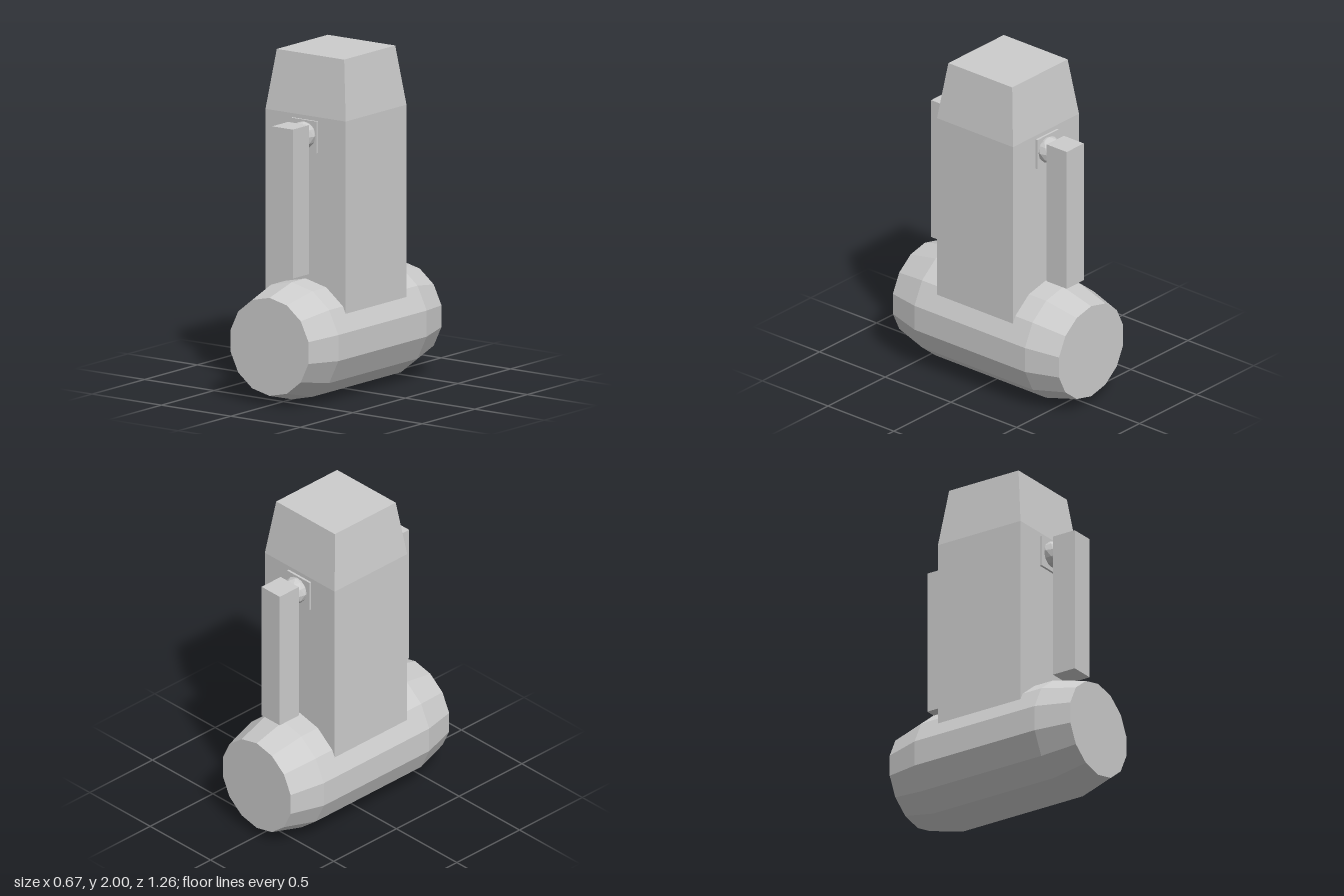
import * as THREE from 'three';

const material = new THREE.MeshStandardMaterial({ color: 0xcccccc, flatShading: true });

function part(name, geometry, x = 0, y = 0, z = 0) {
  const mesh = new THREE.Mesh(geometry, material);
  mesh.name = name;
  mesh.position.set(x, y, z);
  return mesh;
}

export function createModel() {
  const model = new THREE.Group();
  model.name = 'rollerColumn';

  // Fourteen-sided roller with tapered ends, lying along z
  const profile = [[0, -0.632], [0.288, -0.632], [0.344, -0.42], [0.344, 0.42], [0.288, 0.632], [0, 0.632]]
    .map(([r, h]) => new THREE.Vector2(r, h));
  const roller = new THREE.LatheGeometry(profile, 14);
  roller.rotateX(Math.PI / 2);
  // a corner of the polygon points straight up
  model.add(part('roller', roller, 0, 0.348, 0));

  // Square column, its foot sunk into the roller
  model.add(part('column', new THREE.BoxGeometry(0.578, 1.15, 0.578), 0, 1.075, 0));

  // Tapered cap: the upper corners of a box are drawn in
  const cap = new THREE.BoxGeometry(0.578, 0.35, 0.578);
  const p = cap.attributes.position;
  for (let i = 0; i < p.count; i++) {
    if (p.getY(i) > 0) {
      p.setX(i, p.getX(i) * 0.84);
      p.setZ(i, p.getZ(i) * 0.84);
    }
  }
  cap.computeVertexNormals();
  model.add(part('cap', cap, 0, 1.825, 0));

  // Socket plate, ball joint and hanging arm on the front and back
  for (const [side, s] of [['front', 1], ['back', -1]]) {
    const limb = new THREE.Group();
    limb.name = side + 'Limb';
    limb.add(
      part('socketPlate', new THREE.BoxGeometry(0.186, 0.186, 0.03), -0.002, 1.533, s * 0.288),
      part('ballJoint', new THREE.IcosahedronGeometry(0.08, 1), 0.005, 1.54, s * 0.318),
      part('arm', new THREE.BoxGeometry(0.15, 0.875, 0.152), 0.005, 1.177, s * 0.44)
    );
    model.add(limb);
  }
  return model;
}
